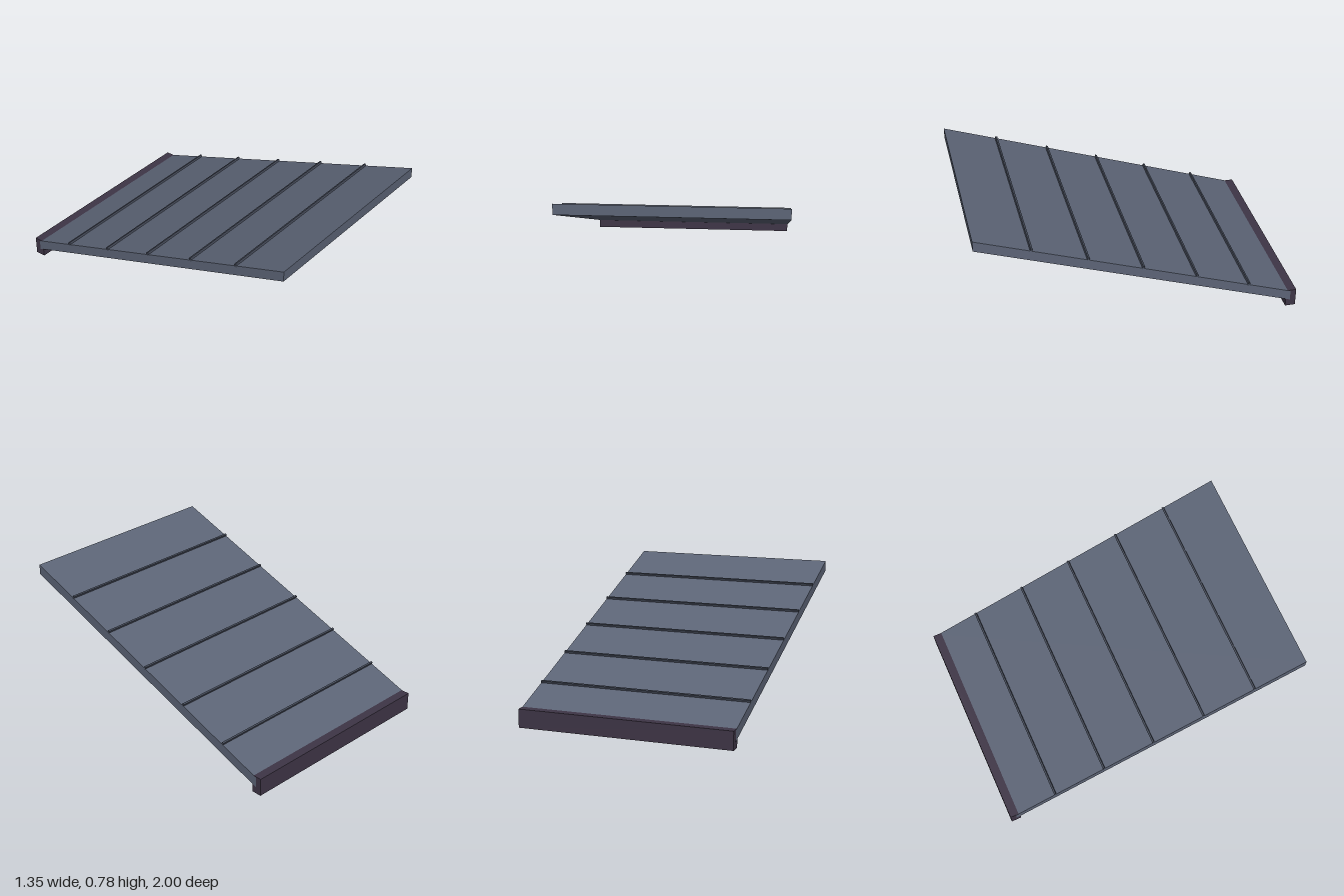
import * as THREE from 'three';

const HALF_WIDTH = 0.674;
const SLOPE = 0.344;
const topY = (z) => 0.784 - SLOPE * (1 - z); // height of the roof surface at z

export function createModel() {
  const model = new THREE.Group();
  model.name = 'slopedRoof';

  const slate = new THREE.MeshStandardMaterial({ color: 0x5c6476 });
  slate.name = 'slate';
  const seam = new THREE.MeshStandardMaterial({ color: 0x434957 });
  seam.name = 'darkSeam';
  const plum = new THREE.MeshStandardMaterial({ color: 0x3e3546 });
  plum.name = 'plumTrim';

  const add = (name, geometry, material) => {
    const mesh = new THREE.Mesh(geometry, material);
    mesh.name = name;
    model.add(mesh);
    return mesh;
  };

  // Sloping panel with upright ends: side profile in (z, y), extruded across x
  const front = 1, back = -0.963, thickness = 0.066;
  const profile = new THREE.Shape([
    new THREE.Vector2(back, topY(back) - thickness),
    new THREE.Vector2(front, topY(front) - thickness),
    new THREE.Vector2(front, topY(front)),
    new THREE.Vector2(back, topY(back)),
  ]);
  const panel = new THREE.ExtrudeGeometry(profile, { depth: HALF_WIDTH * 2, bevelEnabled: false });
  panel.translate(0, 0, -HALF_WIDTH);
  panel.rotateY(-Math.PI / 2);
  add('roofPanel', panel, slate);

  // Five raised seams across the panel
  for (let i = 1; i <= 5; i++) {
    const z = 1 - 0.337 * i;
    const strip = add('roofSeam' + i, new THREE.BoxGeometry(HALF_WIDTH * 2, 0.024, 0.012), seam);
    strip.position.set(0, topY(z) + 0.002, z);
    strip.rotation.x = -Math.atan(SLOPE);
  }

  // Eave board along the low edge, a hair narrower than the panel
  const eave = add('eaveBoard', new THREE.BoxGeometry(HALF_WIDTH * 2 - 0.001, 0.115, 0.065), plum);
  eave.position.set(0, 0.0575, -0.9675);

  return model;
}
